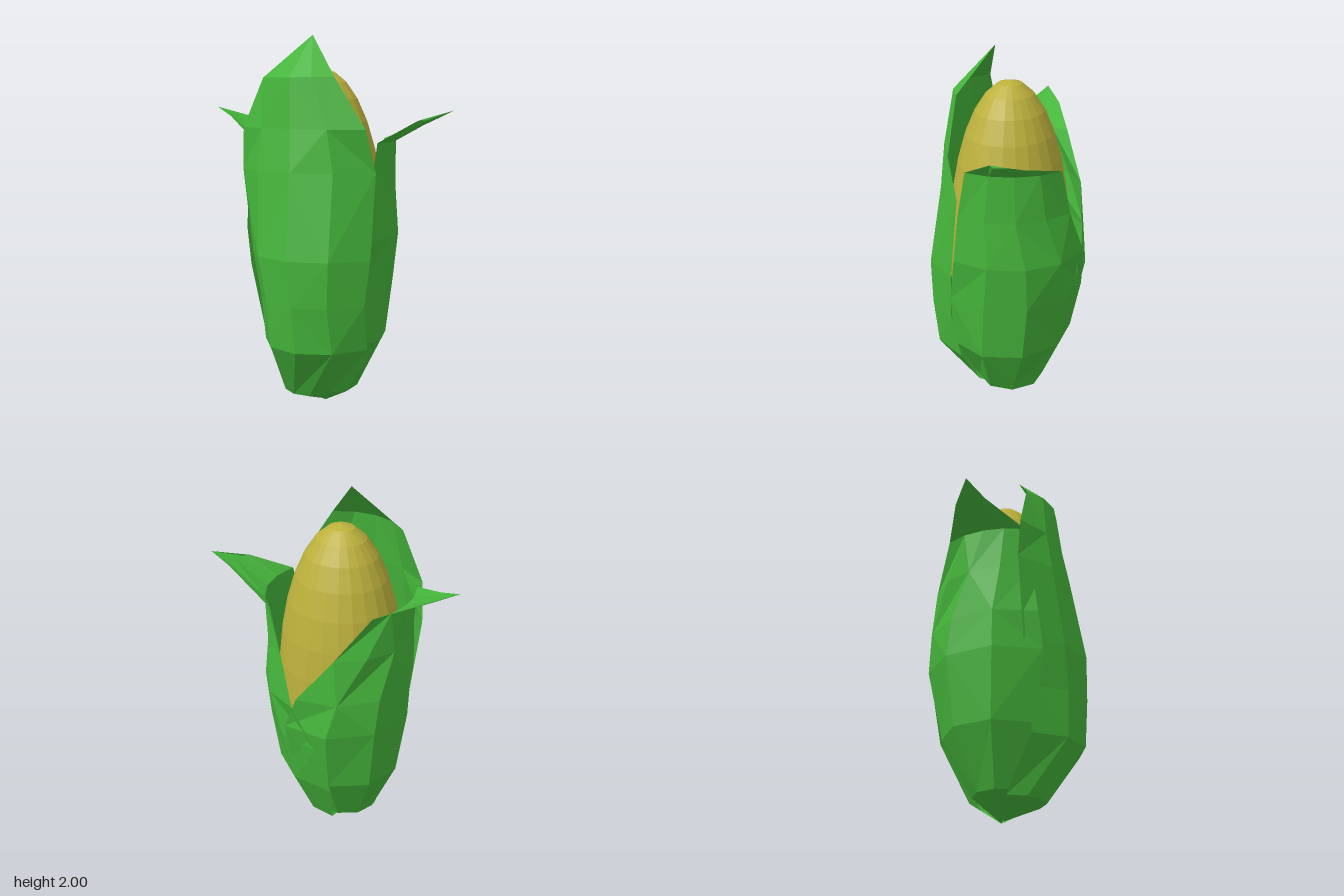
import * as THREE from 'three';

const GREEN = 0x45b53b, YELLOW = 0xbcb03c;
const SEGMENTS = 4;

// Husk leaf lofted through arcs, each row: [y, radiusX, radiusZ, startDeg, endDeg, centreX, centreZ].
// Angles run from the front (+z) towards +x; a zero radius gives a pointed end.
function huskLeaf(name, rows) {
  const positions = [], indices = [];
  for (const [y, rx, rz, a0, a1, cx = 0, cz = 0] of rows) {
    for (let i = 0; i <= SEGMENTS; i++) {
      const a = THREE.MathUtils.degToRad(a0 + (a1 - a0) * i / SEGMENTS);
      positions.push(cx + rx * Math.sin(a), y, cz + rz * Math.cos(a));
    }
  }
  const w = SEGMENTS + 1;
  for (let r = 0; r < rows.length - 1; r++) {
    for (let i = 0; i < SEGMENTS; i++) {
      const a = r * w + i, b = a + 1, c = a + w, d = c + 1;
      if (rows[r][1] === 0) indices.push(a, d, c);
      else if (rows[r + 1][1] === 0) indices.push(a, b, c);
      else if ((r + i) % 2) indices.push(a, b, d, a, d, c);
      else indices.push(a, b, c, b, d, c);
    }
  }
  const geometry = new THREE.BufferGeometry();
  geometry.setAttribute('position', new THREE.Float32BufferAttribute(positions, 3));
  geometry.setIndex(indices);
  geometry.computeVertexNormals();
  const mesh = new THREE.Mesh(geometry, new THREE.MeshStandardMaterial({
    color: GREEN, flatShading: true, side: THREE.DoubleSide,
  }));
  mesh.name = name;
  return mesh;
}

// Faceted egg-shaped cob, blunter towards its hidden base
function cob() {
  const geometry = new THREE.SphereGeometry(1, 24, 16);
  const p = geometry.attributes.position;
  for (let i = 0; i < p.count; i++) {
    const y = p.getY(i);
    p.setXYZ(i, p.getX(i) * 0.35, y * (y > 0 ? 0.95 : 0.65), p.getZ(i) * 0.325);
  }
  geometry.computeVertexNormals();
  const mesh = new THREE.Mesh(geometry, new THREE.MeshStandardMaterial({
    color: YELLOW, flatShading: true,
  }));
  mesh.position.set(0.015, 0.88, 0);
  mesh.name = 'cob';
  return mesh;
}

export function createModel() {
  const model = new THREE.Group();
  model.name = 'cornCob';
  model.add(cob());

  // Tall front leaf, its tip curling back over the cob
  model.add(huskLeaf('frontLeaf', [
    [0.01, 0, 0, 0, 0, 0.02, -0.02],
    [0.09, 0.18, 0.21, -72, 50],
    [0.38, 0.33, 0.40, -58, 70, 0.07],
    [0.62, 0.36, 0.44, -56, 62, 0.07, -0.02],
    [0.86, 0.40, 0.45, -60, 65, 0.05, -0.02],
    [1.30, 0.49, 0.50, -47, 58, 0, -0.14],
    [1.52, 0.60, 0.60, -35, 40, 0, -0.28],
    [1.78, 0.31, 0.29, -45, 45],
    [2.00, 0, 0, 0, 0, 0.01, 0.08],
  ]));

  // Left leaf, wrapping round to the back and folding outwards at the top
  model.add(huskLeaf('leftLeaf', [
    [0, 0, 0, 0, 0, 0.02, -0.03],
    [0.10, 0.19, 0.18, 30, 200, 0.02, -0.01],
    [0.40, 0.38, 0.33, 50, 200],
    [0.70, 0.41, 0.39, 58, 192],
    [0.95, 0.43, 0.425, 68, 176],
    [1.20, 0.415, 0.395, 70, 162],
    [1.45, 0.41, 0.41, 78, 150],
    [1.56, 0.06, 0.09, 20, 160, 0.515, -0.19],
    [1.61, 0, 0, 0, 0, 0.66, -0.27],
  ]));

  // Right leaf, meeting the left one at a low notch in the back
  model.add(huskLeaf('rightLeaf', [
    [0, 0, 0, 0, 0, 0.02, -0.03],
    [0.12, 0.19, 0.17, 165, 310],
    [0.43, 0.33, 0.31, 160, 322, 0, -0.02],
    [0.80, 0.38, 0.40, 165, 320, 0, -0.015],
    [1.00, 0.38, 0.41, 178, 313],
    [1.25, 0.37, 0.38, 208, 311],
    [1.48, 0.37, 0.40, 239, 304],
    [1.57, 0.04, 0.09, 200, 335, -0.51, 0],
    [1.62, 0, 0, 0, 0, -0.66, 0.03],
  ]));
  return model;
}
